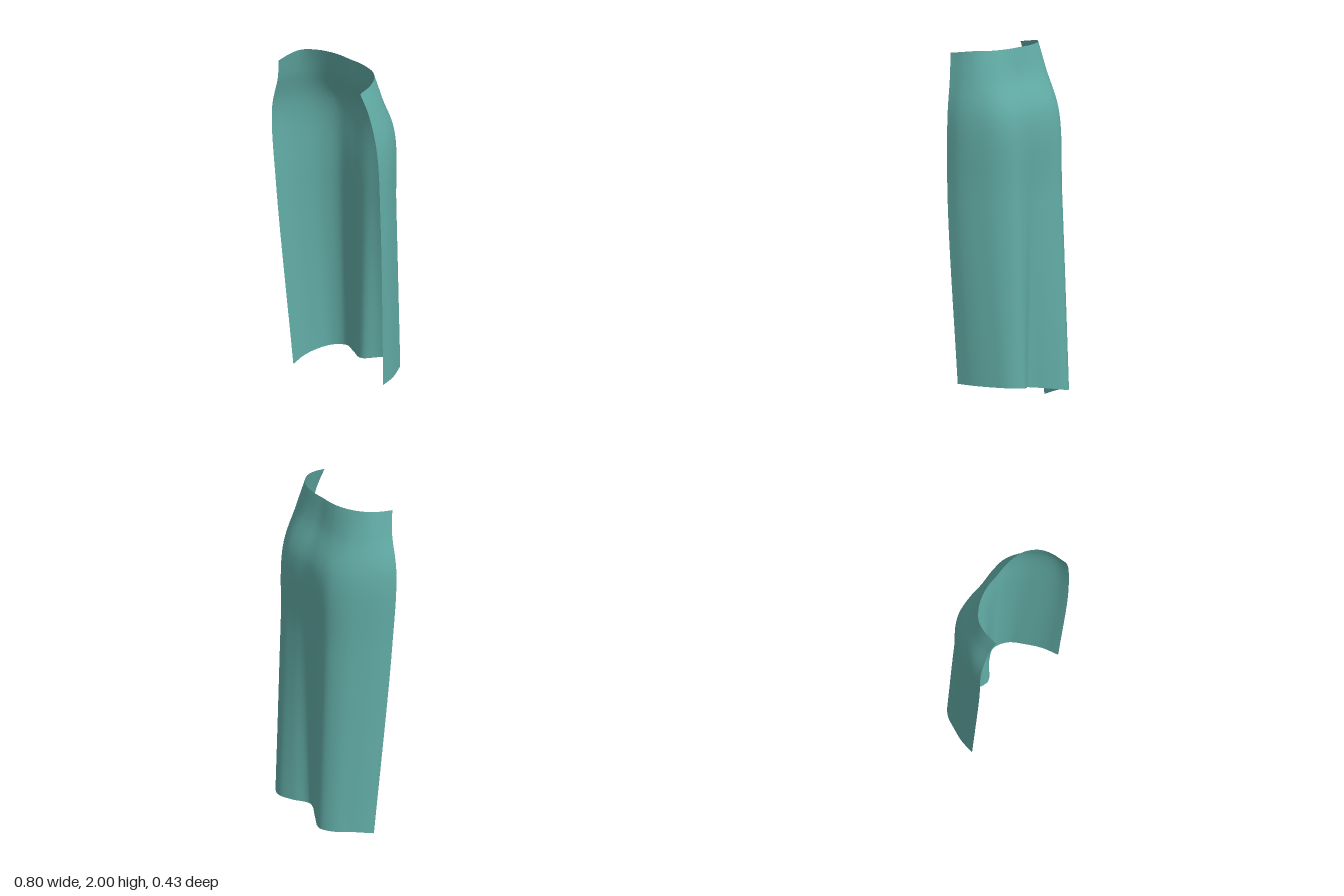
import * as THREE from 'three';

// Cross-sections from waist to hem, each running right edge -> back -> left edge as [x, z]
const waist = [[-.315, .21], [-.307, .13], [-.28, .06], [-.21, .005], [-.13, -.024], [-.065, -.032], [0, -.031],
  [.065, -.032], [.13, -.024], [.2, 0], [.262, .06], [.29, .13], [.297, .215]];
const upperHip = [[-.343, .186], [-.333, .1], [-.3, .025], [-.235, -.035], [-.15, -.064], [-.07, -.068], [0, -.064],
  [.07, -.068], [.15, -.064], [.23, -.035], [.292, .025], [.325, .1], [.336, .188]];
const hip = [[-.397, .174], [-.385, .085], [-.342, -.012], [-.28, -.09], [-.2, -.14], [-.11, -.153], [0, -.149],
  [.11, -.153], [.2, -.142], [.28, -.088], [.34, 0], [.375, .09], [.38, .17]];
const thigh = [[-.388, .15], [-.375, .06], [-.338, -.03], [-.283, -.112], [-.2, -.166], [-.1, -.158], [.01, -.142],
  [.1, -.158], [.195, -.165], [.28, -.105], [.342, -.01], [.383, .08], [.396, .155]];
const hem = [[-.34, .06], [-.332, -.02], [-.308, -.09], [-.265, -.175], [-.195, -.215], [-.1, -.168], [.015, -.11],
  [.1, -.172], [.18, -.205], [.255, -.165], [.305, -.085], [.348, .01], [.37, .105]];

const sections = [waist, upperHip, hip, thigh, hem];
const heights = [2, 1.85, 1.63, 1.15, 0];
const hemHeights = [.005, .032, .05, .062, .07, .085, .1, .112, .12, .126, .13, .135, .14];
const waistDrop = [.025, .012, .002, 0, 0, 0, 0, 0, 0, 0, 0, .008, .02];

const ROWS = 72, COLS = 64;

// Smooth sheet through the sections: splines run down first, then across
function drapedSheet() {
  const columns = waist.map((_, c) => new THREE.CatmullRomCurve3(sections.map((s, r) => {
    let y = heights[r];
    if (r === 0) y -= waistDrop[c];
    if (r === sections.length - 1) y = hemHeights[c];
    return new THREE.Vector3(s[c][0], y, s[c][1]);
  })));
  const positions = [], indices = [];
  for (let i = 0; i <= ROWS; i++) {
    const across = new THREE.CatmullRomCurve3(columns.map(k => k.getPoint(i / ROWS)));
    for (let j = 0; j <= COLS; j++) positions.push(...across.getPoint(j / COLS).toArray());
  }
  const w = COLS + 1;
  for (let i = 0; i < ROWS; i++) {
    for (let j = 0; j < COLS; j++) {
      const a = i * w + j;
      indices.push(a, a + 1, a + w, a + 1, a + w + 1, a + w);
    }
  }
  const geometry = new THREE.BufferGeometry();
  geometry.setAttribute('position', new THREE.Float32BufferAttribute(positions, 3));
  geometry.setIndex(indices);
  geometry.computeVertexNormals();
  return geometry;
}

export function createModel() {
  const group = new THREE.Group();
  group.name = 'openSkirt';
  const teal = new THREE.MeshStandardMaterial({ color: 0x62aca6, side: THREE.DoubleSide });
  teal.name = 'teal cloth';
  const cloth = new THREE.Mesh(drapedSheet(), teal);
  cloth.name = 'skirtCloth';
  group.add(cloth);
  return group;
}
